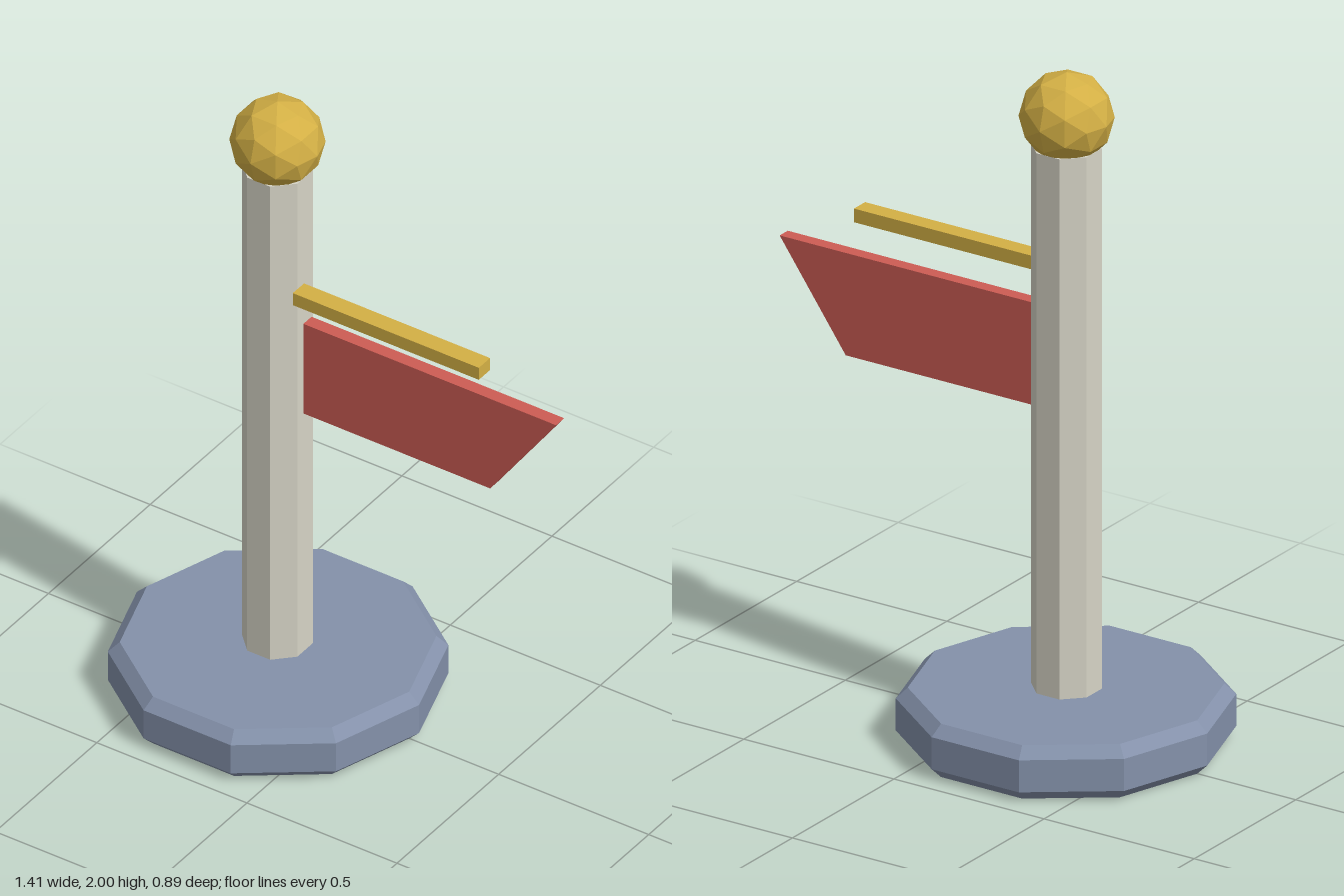
import * as THREE from 'three';

const POST_X = -0.235;

function flat(name, color) {
  const m = new THREE.MeshStandardMaterial({ color, flatShading: true });
  m.name = name;
  return m;
}

export function createModel() {
  const group = new THREE.Group();
  const slate = flat('slate blue', 0x8491aa);
  const stone = flat('pale stone', 0xd6d4c6);
  const gold = flat('gold', 0xd4b045);
  const red = flat('red', 0xcd5c54);

  function add(name, geometry, material, x, y, z) {
    const mesh = new THREE.Mesh(geometry, material);
    mesh.name = name;
    mesh.position.set(x, y, z);
    group.add(mesh);
    return mesh;
  }

  // ten-sided base with bevelled rims, corners on the x axis
  const profile = [[0, 0], [0.437, 0], [0.47, 0.032], [0.47, 0.128], [0.437, 0.16], [0, 0.16]];
  const base = new THREE.LatheGeometry(profile.map(([r, y]) => new THREE.Vector2(r, y)), 10, Math.PI / 2);
  add('base', base, slate, POST_X, 0, 0);

  // octagonal post with flat sides facing the axes
  const post = new THREE.CylinderGeometry(0.1, 0.1, 1.66, 8, 1, false, Math.PI / 8);
  add('post', post, stone, POST_X - 0.002, 0.95, 0);

  // faceted ball finial
  add('finial', new THREE.IcosahedronGeometry(0.133, 1), gold, POST_X - 0.002, 1.867, 0);

  // slim bar above the pennant
  add('bar', new THREE.BoxGeometry(0.62, 0.041, 0.055), gold, 0.165, 1.398, 0.033);

  // pennant with a slanted free end
  const outline = new THREE.Shape([[-0.137, 0.985], [0.485, 0.985], [0.705, 1.292], [-0.137, 1.292]]
    .map(([x, y]) => new THREE.Vector2(x, y)));
  const pennant = new THREE.ExtrudeGeometry(outline, { depth: 0.04, bevelEnabled: false });
  add('pennant', pennant, red, 0, 0, -0.02);

  return group;
}
